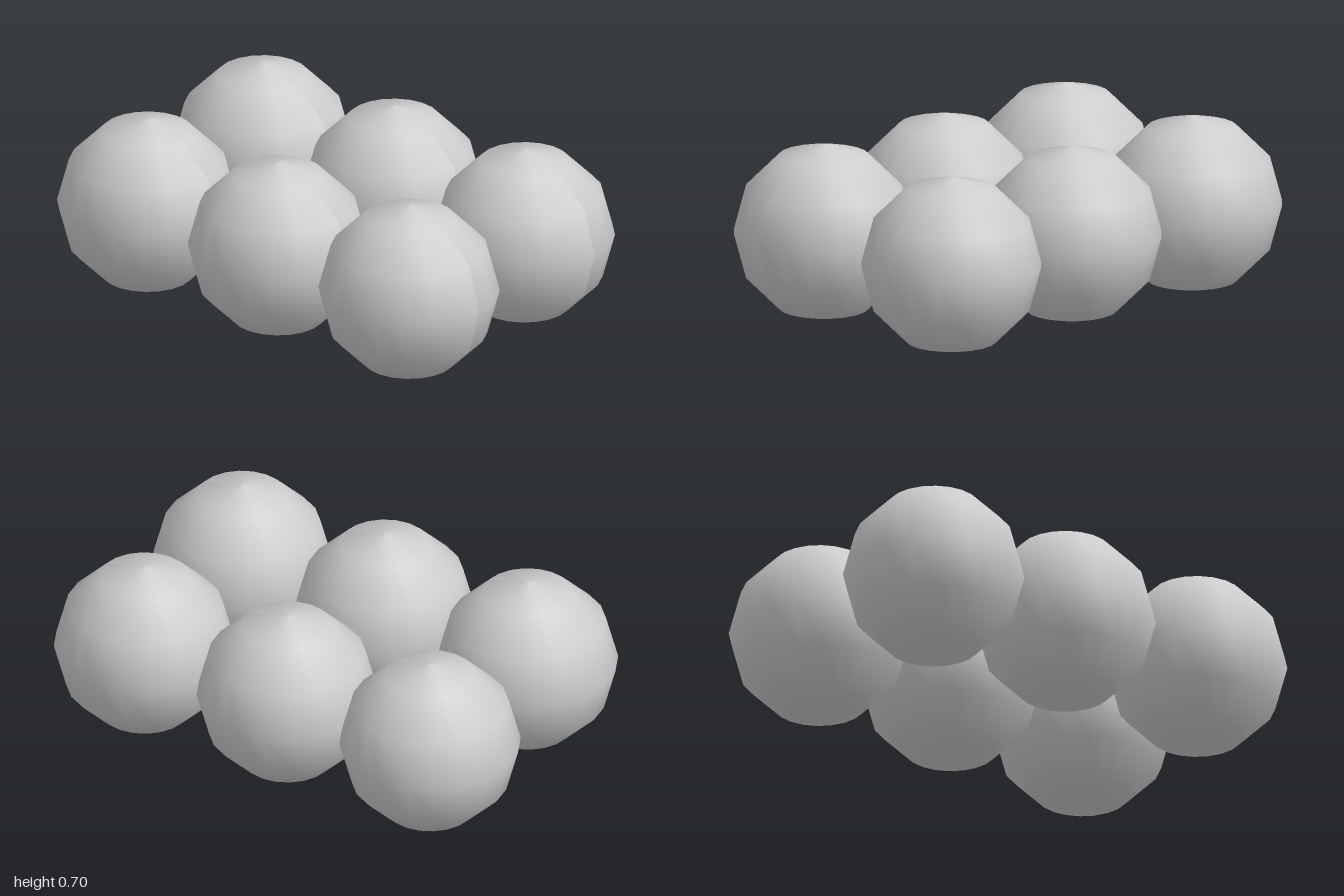
import * as THREE from 'three';

const RADIUS = 0.349;
const COLUMNS = [-0.651, 0, 0.651];
const ROWS = [0.348, -0.348];

export function createModel() {
  const group = new THREE.Group();
  group.name = 'ballCluster';

  const grey = new THREE.MeshStandardMaterial({ color: 0xcccccc });
  grey.name = 'light grey';

  // Coarse ball with its seam on +x; averaged normals leave the seam slightly visible
  const ball = new THREE.SphereGeometry(RADIUS, 20, 6, Math.PI);
  ball.computeVertexNormals();

  // Two rows of three balls
  ROWS.forEach((z, row) => {
    COLUMNS.forEach((x, column) => {
      const mesh = new THREE.Mesh(ball, grey);
      mesh.name = `${row === 0 ? 'front' : 'back'}Ball${column + 1}`;
      mesh.position.set(x, RADIUS, z);
      group.add(mesh);
    });
  });

  return group;
}
